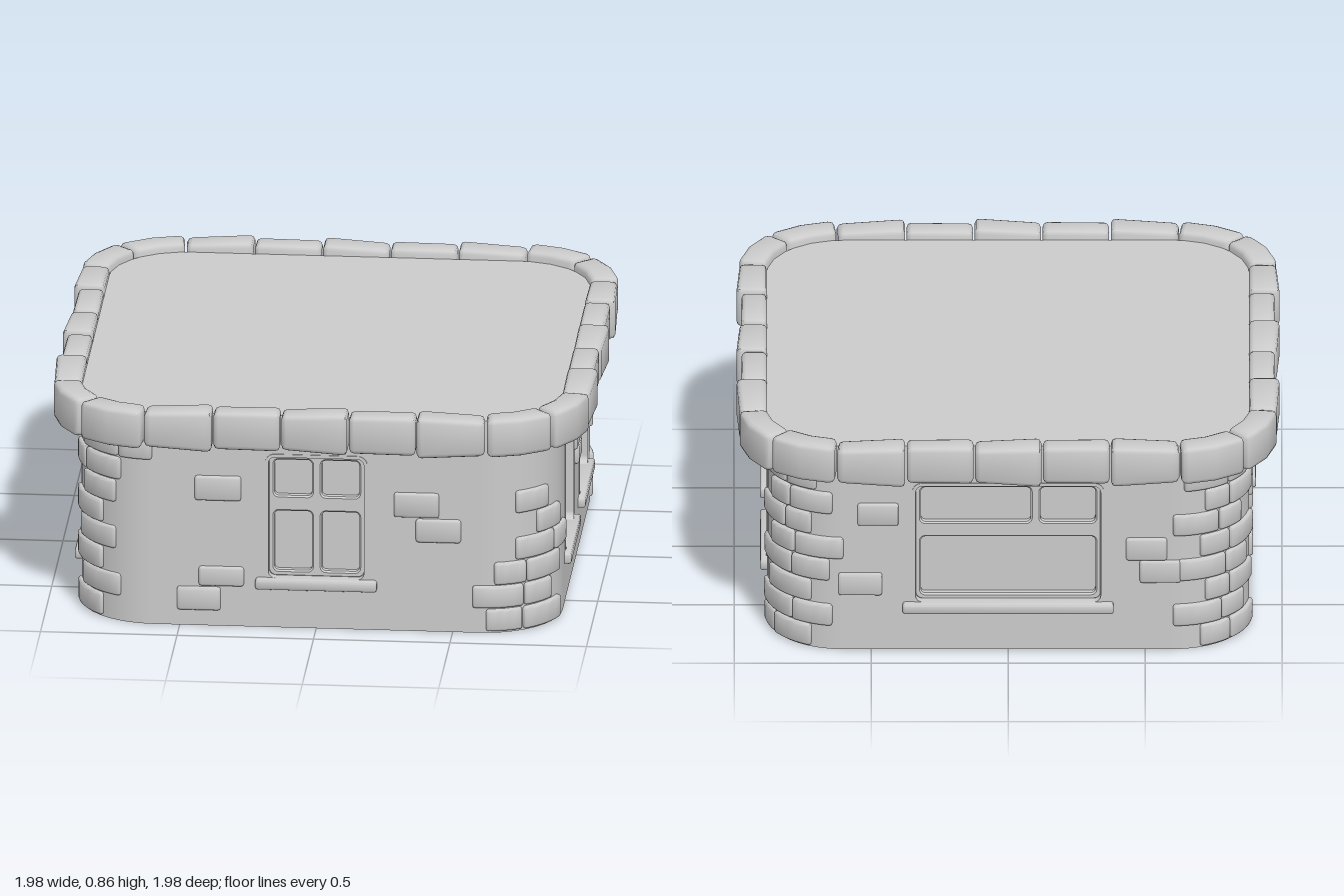
import * as THREE from 'three';
import { mergeVertices, toCreasedNormals } from 'three/addons/utils/BufferGeometryUtils.js';

const H = 0.88, R = 0.28, L = H - R;   // wall half width, corner radius, half of straight run
const MID = L + R * Math.PI / 4;       // run from a side's centre to the middle of its corner
const TOP = 0.82;                      // roof deck height

// Seeded random number from -1 to 1
let seed = 7;
const rnd = () => ((seed = (seed * 16807) % 2147483647) / 2147483647) * 2 - 1;

// Point at run u along the wall, pushed out by o, following the rounded corners
function onWall(u, o) {
  const s = Math.sign(u), a = Math.abs(u);
  if (a <= L) return [u, H + o];
  const t = Math.min((a - L) / R, Math.PI / 2);
  const past = Math.max(a - L - R * Math.PI / 2, 0);
  return [s * (L + (R + o) * Math.sin(t)), L + (R + o) * Math.cos(t) - past];
}

// Soft-edged stone bent along the wall; warp can move (u, y, o) before bending
function stone(u0, u1, y0, y1, o0, o1, b, n, warp) {
  let g = new THREE.BoxGeometry(1, 1, 1, n + 2, 3, 3);
  g.deleteAttribute('uv');
  g.deleteAttribute('normal');
  g = mergeVertices(g);
  const p = g.attributes.position, segs = [n + 2, 3, 3];
  const lo = [u0, y0, o0], hi = [u1, y1, o1];
  for (let i = 0; i < p.count; i++) {
    const dir = new THREE.Vector3(), c = [0, 0, 0];
    segs.forEach((m, k) => {
      const j = Math.round((p.getComponent(i, k) + 0.5) * m);
      dir.setComponent(k, j === 0 ? -1 : j === m ? 1 : 0);
      const f = (Math.min(Math.max(j, 1), m - 1) - 1) / (m - 2);
      c[k] = lo[k] + b + f * (hi[k] - lo[k] - 2 * b);
    });
    dir.normalize().multiplyScalar(b);
    let q = [c[0] + dir.x, c[1] + dir.y, c[2] + dir.z];
    if (warp) q = warp(...q);
    const [x, z] = onWall(q[0], q[2]);
    p.setXYZ(i, x, q[1], z);
  }
  return toCreasedNormals(g, 0.9);
}

// Rounded rectangle as a Shape or a Path
function rect(x0, x1, y0, y1, r, Type = THREE.Path) {
  const s = new Type(), q = Math.PI / 2;
  s.moveTo(x0 + r, y0);
  s.absarc(x1 - r, y0 + r, r, -q, 0);
  s.absarc(x1 - r, y1 - r, r, 0, q);
  s.absarc(x0 + r, y1 - r, r, q, 2 * q);
  s.absarc(x0 + r, y0 + r, r, 2 * q, 3 * q);
  s.closePath();
  return s;
}

const WY = [0.18, 0.67];
// Windows: c centre, w half width, m offset of the upper mullion, split = lower row divided too
const WINDOWS = [
  [{ c: 0, w: 0.187, m: 0, split: true }],
  [{ c: -0.31, w: 0.187, m: 0, split: true }, { c: 0.305, w: 0.187, m: 0, split: false }],
  [{ c: 0, w: 0.35, m: 0.1, split: false }],
  [{ c: 0.4, w: 0.187, m: 0, split: true }],
];
// Loose bricks: run start, run end, bottom, top
const BRICKS = [
  [[-0.445, -0.275, 0.485, 0.58], [0.285, 0.45, 0.44, 0.535], [0.365, 0.53, 0.345, 0.435],
    [-0.43, -0.265, 0.155, 0.23], [-0.51, -0.35, 0.06, 0.15]],
  [[-0.1, 0.04, 0.44, 0.515], [-0.045, 0.095, 0.365, 0.44], [-0.03, 0.1, 0.65, 0.72]],
  [[-0.55, -0.4, 0.5, 0.59], [0.43, 0.58, 0.36, 0.45], [0.48, 0.63, 0.27, 0.36], [-0.62, -0.46, 0.22, 0.31]],
  [[-0.4, -0.24, 0.47, 0.56], [-0.1, 0.06, 0.25, 0.34], [-0.02, 0.14, 0.16, 0.25], [-0.3, -0.16, 0.1, 0.19]],
];
// Corner bricks, rows from the ground up: reach before and after the corner's middle
const QUOINS = [
  [[-0.2, 0.14], [-0.25, 0.08], [-0.17, 0.14], [-0.09, 0.22], [0.0, 0.14], [-0.09, 0.06]],
  [[-0.2, 0.1], [-0.2, 0.18], [-0.12, 0.1], [-0.2, 0.17], [-0.1, 0.22], [-0.19, 0.1], [-0.1, 0.18], [-0.2, 0.12]],
  [[-0.12, 0.2], [-0.22, 0.1], [-0.1, 0.18], [-0.2, 0.12], [-0.12, 0.2], [-0.22, 0.08], [-0.1, 0.18], [-0.18, 0.12]],
  [[-0.2, 0.02], [-0.12, 0.1], [-0.2, 0.02], [-0.14, 0.08], [-0.2, 0.02], [-0.1, 0.08], [-0.2, 0.1], [-0.1, 0.22]],
];

export function createModel() {
  const model = new THREE.Group();
  model.name = 'stoneHouseStorey';
  const mat = new THREE.MeshStandardMaterial({ color: 0xcccccc });
  const thin = new THREE.MeshStandardMaterial({ color: 0xcccccc, side: THREE.DoubleSide });
  const add = (parent, name, geo, m = mat) => {
    const mesh = new THREE.Mesh(geo, m);
    mesh.name = name;
    parent.add(mesh);
    return mesh;
  };

  function addWindow(side, { c, w, m, split }) {
    const g = new THREE.Group();
    g.name = 'window';
    const [y0, y1] = WY, x0 = c - w, x1 = c + w, i = 0.032, bar = 0.018;
    // Lining of the wall opening
    const lining = rect(x0, x1, y0, y1, 0.035, THREE.Shape);
    lining.holes.push(rect(x0 + 0.012, x1 - 0.012, y0 + 0.012, y1 - 0.012, 0.025));
    add(g, 'windowLining', new THREE.ExtrudeGeometry(lining, { depth: 0.073, bevelEnabled: false, curveSegments: 5 }))
      .position.z = H - 0.07;
    // Frame with pane openings
    const frame = rect(x0 + 0.008, x1 - 0.008, y0 + 0.008, y1 - 0.008, 0.03, THREE.Shape);
    const row = (a, b, divided, mid) => (divided
      ? [[x0 + i, mid - bar, a, b], [mid + bar, x1 - i, a, b]] : [[x0 + i, x1 - i, a, b]]);
    const panes = [...row(y0 + i, 0.44, split, c), ...row(0.5, y1 - i, true, c + m)];
    for (const p of panes) frame.holes.push(rect(...p, 0.016));
    add(g, 'windowFrame', new THREE.ExtrudeGeometry(frame, {
      depth: 0.022, bevelThickness: 0.006, bevelSize: 0.006, bevelOffset: -0.006, bevelSegments: 1, curveSegments: 4,
    })).position.z = H - 0.056;
    // Glass behind the frame
    const glass = new THREE.PlaneGeometry(2 * w - 0.02, y1 - y0 - 0.02);
    add(g, 'windowGlass', glass, thin).position.set(c, (y0 + y1) / 2, H - 0.055);
    add(g, 'windowSill', stone(x0 - 0.035, x1 + 0.035, 0.15, 0.192, -0.06, 0.026, 0.009, 1));
    side.add(g);
  }

  ['front', 'right', 'back', 'left'].forEach((name, k) => {
    const side = new THREE.Group();
    side.name = name + 'Side';
    side.rotation.y = k * Math.PI / 2;
    model.add(side);

    // Flat wall with window openings, and the rounded corner after it
    const wall = new THREE.Shape([[-L, 0], [L, 0], [L, TOP], [-L, TOP]].map(a => new THREE.Vector2(...a)));
    for (const { c, w } of WINDOWS[k]) wall.holes.push(rect(c - w, c + w, ...WY, 0.035));
    add(side, 'wall', new THREE.ShapeGeometry(wall, 5), thin).position.z = H;
    add(side, 'cornerWall', new THREE.CylinderGeometry(R, R, TOP, 10, 1, true, 0, Math.PI / 2), thin)
      .position.set(L, TOP / 2, L);

    for (const w of WINDOWS[k]) addWindow(side, w);
    for (const b of BRICKS[k]) add(side, 'wallBrick', stone(...b, -0.05, 0.014, 0.01, 1));

    // Corner bricks, long rows split in two
    QUOINS[k].forEach(([a, b], r) => {
      const cuts = b - a > 0.25 ? [a, (a + b) / 2 + (r % 2 ? 0.03 : -0.03), b] : [a, b];
      for (let j = 0; j + 1 < cuts.length; j++) {
        add(side, 'cornerBrick', stone(MID + cuts[j] + 0.002, MID + cuts[j + 1] - 0.002,
          0.006 + r * 0.09, 0.092 + r * 0.09, -0.045, 0.013 + 0.003 * rnd(), 0.01, 6));
      }
    });

    // Cornice: five slightly tilted stones, then two around the corner
    const cuts = [-0.622, -0.373, -0.124, 0.124, 0.373, 0.622, MID, 2 * MID - 0.622];
    for (let j = 0; j < 7; j++) {
      const u0 = cuts[j] + 0.003, u1 = cuts[j + 1] - 0.003, corner = j > 4;
      const tilt = corner ? 0 : (j % 2 ? 0.002 : 0.012) * (j === 4 ? -1 : 1);
      const lift = 0.004 * rnd();
      const warp = (u, y, o) => {
        const f = (u - u0) / (u1 - u0) - 0.5;
        return [u, y + lift + (y > 0.78 ? 1 : -1) * tilt * f, o + (o > 0.05 ? tilt * f : 0)];
      };
      add(side, 'corniceStone', stone(u0, u1, 0.708, 0.854, 0, corner ? 0.104 : j % 2 ? 0.094 : 0.106, 0.018,
        corner ? 2 : 1, warp));
    }
  });

  // Roof deck
  const deck = add(model, 'roofDeck', new THREE.ShapeGeometry(rect(-H, H, -H, H, R, THREE.Shape), 10), thin);
  deck.rotation.x = -Math.PI / 2;
  deck.position.y = TOP;
  return model;
}
